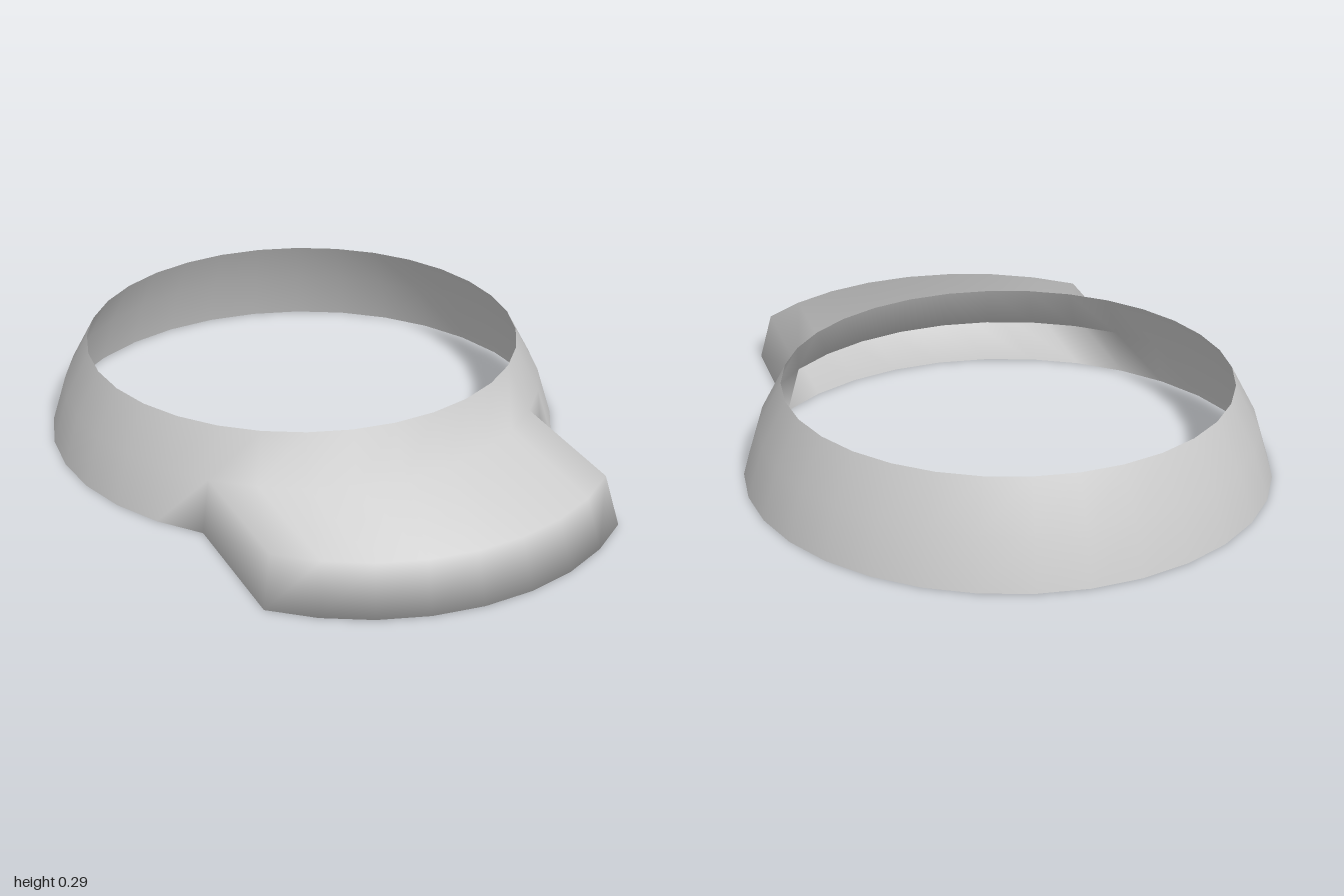
import * as THREE from 'three';

const SEG = 32;          // sides of the round band
const HALF = 4;          // visor spans this many sides either way of the front
const CENTRE_Z = -0.222;
const REACH = 0.445;     // how far the visor stands forward of the band
const PROFILE = [[0.778, 0], [0.733, 0.15], [0.66, 0.288]]; // radius, height

export function createModel() {
  const group = new THREE.Group();
  group.name = 'visorCap';
  const points = [];
  const normals = [];

  const addPoint = (level, i, forward) => {
    const a = (i / SEG) * Math.PI * 2;
    const [r, y] = PROFILE[level];
    points.push(new THREE.Vector3(r * Math.sin(a), y, CENTRE_Z + r * Math.cos(a) + forward));
    normals.push(new THREE.Vector3());
  };

  // Rings of the band, then the two arcs at the front of the visor
  for (let level = 0; level < 3; level++)
    for (let i = 0; i < SEG; i++) addPoint(level, i, 0);
  for (let level = 0; level < 2; level++)
    for (let i = -HALF; i <= HALF; i++) addPoint(level, i, REACH);

  const ring = (level, i) => level * SEG + ((i + SEG) % SEG);
  const brim = (level, i) => 3 * SEG + level * (2 * HALF + 1) + i + HALF;

  // Each face counts equally in the smooth normals of its corners
  const quad = (list, a, b, c, d) => {
    list.push(a, b, c, a, c, d);
    const across = points[c].clone().sub(points[a]);
    const normal = across.cross(points[d].clone().sub(points[b])).normalize();
    for (const corner of [a, b, c, d]) normals[corner].add(normal);
  };

  // Band: tapered open wall, its lower front opening into the visor
  const band = [];
  for (let i = -HALF; i < SEG - HALF; i++) {
    if (i >= HALF) quad(band, ring(0, i), ring(0, i + 1), ring(1, i + 1), ring(1, i));
    quad(band, ring(1, i), ring(1, i + 1), ring(2, i + 1), ring(2, i));
  }

  // Visor: hollow, with flat top, curved front lip, flat floor and side walls
  const visor = [];
  for (let i = -HALF; i < HALF; i++) {
    quad(visor, brim(1, i), brim(1, i + 1), ring(1, i + 1), ring(1, i));
    quad(visor, brim(0, i), brim(0, i + 1), brim(1, i + 1), brim(1, i));
    quad(visor, ring(0, i), ring(0, i + 1), brim(0, i + 1), brim(0, i));
  }
  quad(visor, brim(0, HALF), ring(0, HALF), ring(1, HALF), brim(1, HALF));
  quad(visor, ring(0, -HALF), brim(0, -HALF), brim(1, -HALF), ring(1, -HALF));

  // Shared points and normals so the visor blends into the band
  const flat = (vectors) => new THREE.Float32BufferAttribute(vectors.flatMap((v) => v.toArray()), 3);
  const position = flat(points);
  const normal = flat(normals.map((n) => n.normalize()));
  const material = new THREE.MeshStandardMaterial({ color: 0xcccccc, side: THREE.DoubleSide });
  for (const [name, index] of [['band', band], ['visor', visor]]) {
    const part = new THREE.BufferGeometry();
    part.setAttribute('position', position);
    part.setAttribute('normal', normal);
    part.setIndex(index);
    const mesh = new THREE.Mesh(part, material);
    mesh.name = name;
    group.add(mesh);
  }
  return group;
}
